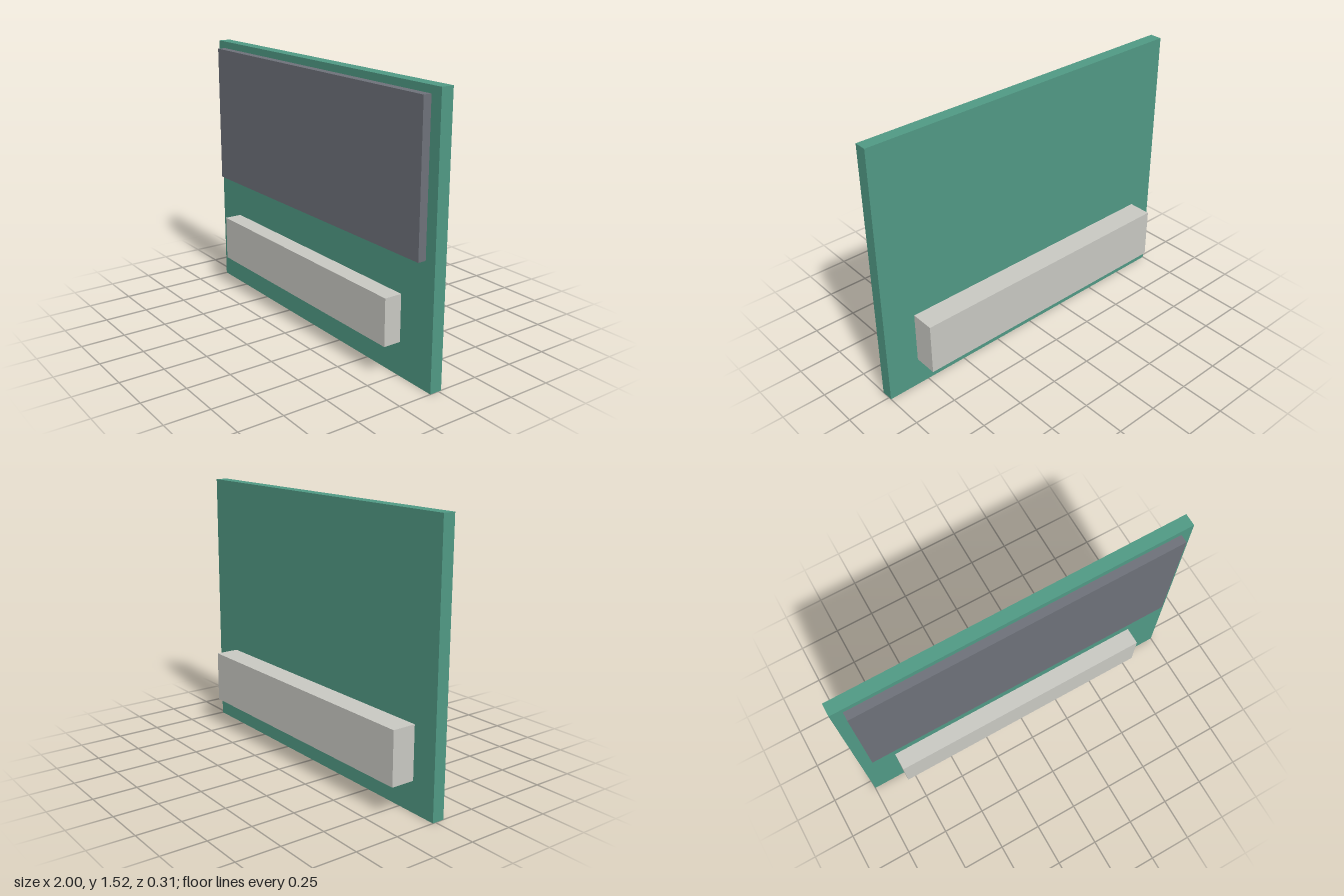
import * as THREE from 'three';

export function createModel() {
  const group = new THREE.Group();
  const mat = (name, color) => {
    const m = new THREE.MeshStandardMaterial({ color });
    m.name = name;
    return m;
  };
  const green = mat('board green', 0x509984);
  const slate = mat('screen grey', 0x6d7179);
  const pale = mat('block pale grey', 0xc8c8c2);

  // Box given by its low and high limits on each axis
  const slab = (name, material, [x0, x1], [y0, y1], [z0, z1]) => {
    const mesh = new THREE.Mesh(new THREE.BoxGeometry(x1 - x0, y1 - y0, z1 - z0), material);
    mesh.position.set((x0 + x1) / 2, (y0 + y1) / 2, (z0 + z1) / 2);
    mesh.name = name;
    group.add(mesh);
  };

  const back = -0.018, front = 0.053; // faces of the board

  slab('board', green, [-1, 1], [0, 1.525], [back, front]);
  slab('screen', slate, [-0.935, 0.933], [0.68, 1.485], [front, 0.1]);
  slab('frontBlock', pale, [-0.803, 0.762], [0.19, 0.452], [front, 0.155]);
  slab('rearBlock', pale, [-0.85, 0.81], [0.172, 0.472], [back, -0.155]
    .sort((a, b) => a - b));

  return group;
}
